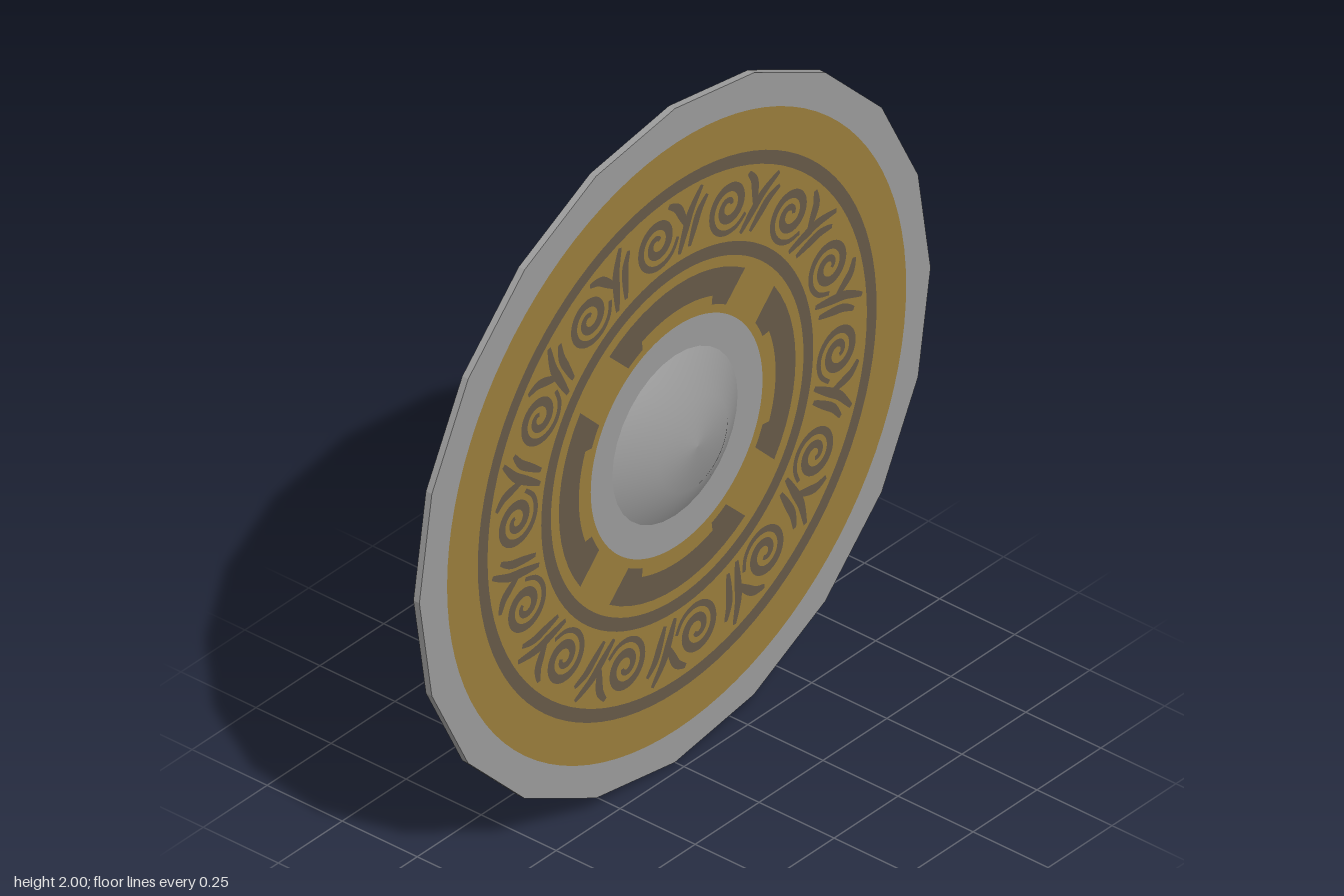
import * as THREE from 'three';
import { mergeGeometries } from 'three/addons/utils/BufferGeometryUtils.js';

const steel = new THREE.MeshStandardMaterial({ color: 0x9b9b9b });
steel.name = 'steel';
const gold = new THREE.MeshStandardMaterial({ color: 0x997d3b });
gold.name = 'gold';
const brown = new THREE.MeshStandardMaterial({ color: 0x665948 });
brown.name = 'brown';

const FACE = -0.03, BACK = -0.05;
const TAU = Math.PI * 2;

function add(parent, name, geometry, material, z = 0) {
  const mesh = new THREE.Mesh(geometry, material);
  mesh.name = name;
  mesh.position.z = z;
  parent.add(mesh);
  return mesh;
}

const polar = (r, degrees) => {
  const a = THREE.MathUtils.degToRad(degrees);
  return new THREE.Vector2(r * Math.cos(a), r * Math.sin(a));
};

// Flat brush stroke along a path, tapering at both ends
function stroke(points, width) {
  const path = new THREE.SplineCurve(points);
  const n = points.length * 4;
  const left = [], right = [];
  for (let i = 0; i <= n; i++) {
    const t = i / n;
    const p = path.getPoint(t), d = path.getTangent(t);
    const w = width / 2 * (0.45 + 0.55 * Math.sin(Math.PI * t));
    left.push(new THREE.Vector2(p.x - d.y * w, p.y + d.x * w));
    right.unshift(new THREE.Vector2(p.x + d.y * w, p.y - d.x * w));
  }
  return new THREE.ShapeGeometry(new THREE.Shape([...left, ...right]));
}

// One scroll: a spiral with slanted leaves beside it, centred on the origin
function scrollMotif() {
  const spiral = [];
  for (let i = 0; i <= 22; i++) {
    const t = i / 22;
    const a = 0.6 + t * TAU * 1.85, r = 0.012 + 0.07 * t;
    spiral.push(new THREE.Vector2(r * Math.cos(a), r * Math.sin(a)));
  }
  const v = (list) => list.map(([x, y]) => new THREE.Vector2(x, y));
  return mergeGeometries([
    stroke(spiral, 0.027),
    stroke(v([[0.075, -0.085], [0.105, -0.03], [0.135, 0.02], [0.185, 0.07]]), 0.028),
    stroke(v([[0.115, -0.085], [0.14, -0.04], [0.165, 0.0], [0.2, 0.03]]), 0.026),
    stroke(v([[0.055, 0.085], [0.085, 0.06], [0.1, 0.025], [0.11, -0.01]]), 0.028),
  ]);
}

// Curved panel with a notch on its inner edge
function panelShape() {
  const pts = [];
  const arc = (r, from, to) => {
    for (let i = 0; i <= 12; i++) pts.push(polar(r, from + (to - from) * i / 12));
  };
  arc(0.463, 55, 125);
  arc(0.36, 122, 112);
  arc(0.385, 111, 69);
  arc(0.36, 68, 58);
  return new THREE.ShapeGeometry(new THREE.Shape(pts));
}

export function createModel() {
  const model = new THREE.Group();
  model.name = 'roundShield';

  // Built facing +z, then turned to face +x
  const shield = new THREE.Group();
  shield.name = 'shield';
  shield.position.y = 1;
  shield.rotation.y = Math.PI / 2;
  model.add(shield);

  // Twenty-sided plate
  const plate = new THREE.CylinderGeometry(1, 1, FACE - BACK, 20)
    .rotateX(Math.PI / 2).toNonIndexed();
  plate.computeVertexNormals();
  add(shield, 'plate', plate, steel, (FACE + BACK) / 2);

  // Smooth central boss
  const profile = [[0.245, FACE], [0.135, 0.03], [0, 0.046]]
    .map(([r, h]) => new THREE.Vector2(r, h));
  add(shield, 'boss', new THREE.LatheGeometry(profile, 32).rotateX(Math.PI / 2), steel);

  // Brown backing
  add(shield, 'backing', new THREE.CircleGeometry(0.9, 96).rotateY(Math.PI), brown, BACK - 0.002);

  // Painted front
  const paint = new THREE.Group();
  paint.name = 'frontDecoration';
  paint.position.set(0.004, -0.003, FACE);
  shield.add(paint);
  add(paint, 'goldField', new THREE.RingGeometry(0.336, 0.898, 96), gold, 0.002);
  add(paint, 'outerRing', new THREE.RingGeometry(0.742, 0.78, 96), brown, 0.004);
  add(paint, 'innerRing', new THREE.RingGeometry(0.494, 0.532, 96), brown, 0.004);

  const panel = panelShape();
  for (let i = 0; i < 4; i++) {
    add(paint, 'innerPanel', panel, brown, 0.004).rotation.z = i * TAU / 4;
  }

  // Ring of fourteen scrolls
  const motif = scrollMotif();
  for (let i = 0; i < 14; i++) {
    const a = THREE.MathUtils.degToRad(97) + i * TAU / 14;
    const scroll = add(paint, 'scroll', motif, brown, 0.004);
    scroll.position.x = 0.632 * Math.cos(a);
    scroll.position.y = 0.632 * Math.sin(a);
    scroll.rotation.z = a - Math.PI / 2;
  }

  return model;
}
